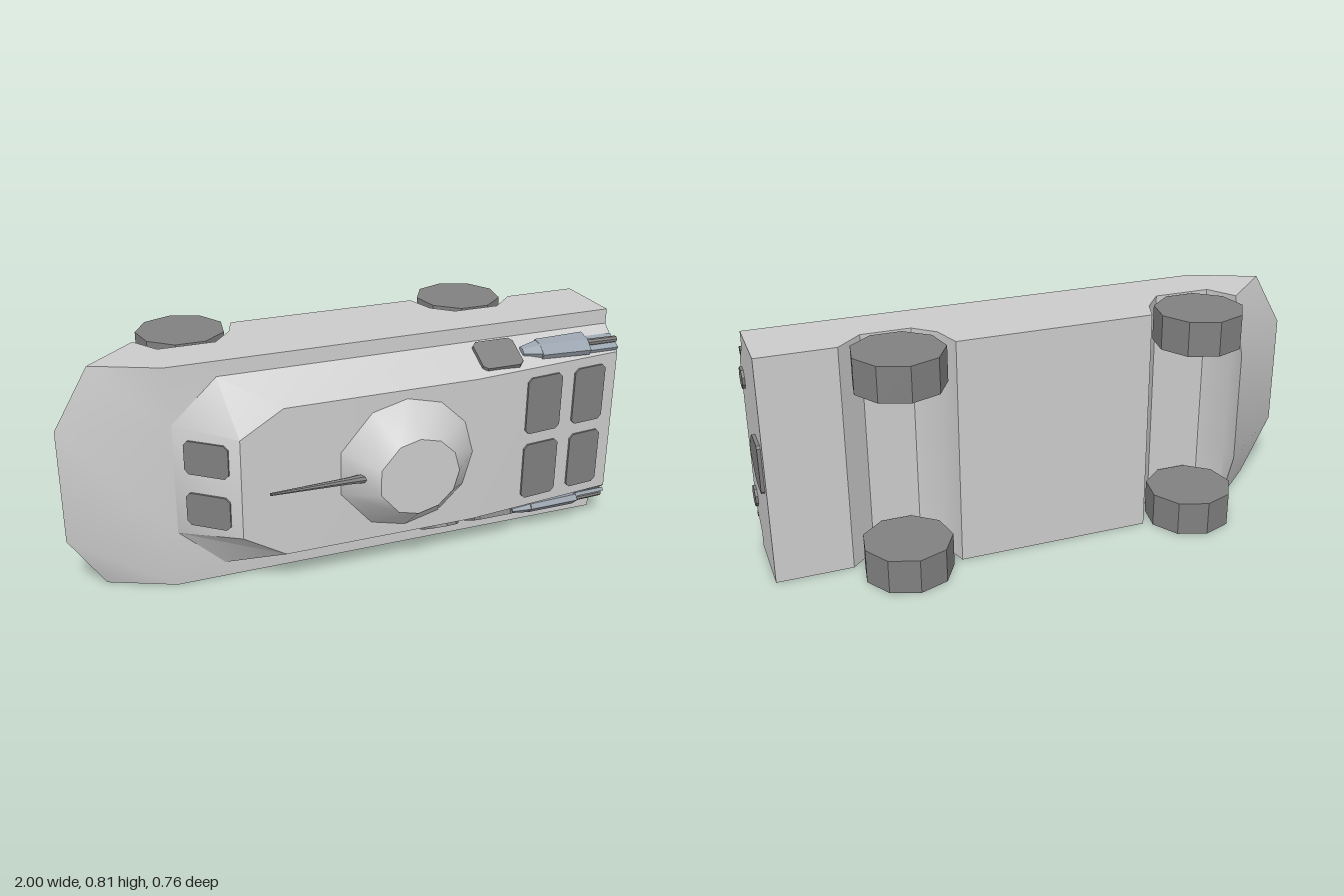
import * as THREE from 'three';
import { toCreasedNormals } from 'three/addons/utils/BufferGeometryUtils.js';

const W = 0.805, MID = W / 2;
const grey = new THREE.MeshStandardMaterial({ color: 0xcccccc });
const dark = new THREE.MeshStandardMaterial({ color: 0x808080, flatShading: true });
const steel = new THREE.MeshStandardMaterial({ color: 0x9aa4ae, flatShading: true });

function add(parent, name, geo, mat, x = 0, y = 0, z = 0) {
  const m = new THREE.Mesh(geo, mat);
  m.name = name;
  m.position.set(x, y, z);
  parent.add(m);
  return m;
}

// Solid between two mirrored outlines; each half runs rear to front as [x, offset, z]
function loft(baseHalf, topHalf) {
  const loop = h => [...h, ...h.slice().reverse().map(([x, o, z]) => [x, -o, z])]
    .map(([x, o, z]) => [x, MID + o, z]);
  const b = loop(baseHalf), t = loop(topHalf), n = b.length, pos = [];
  const quad = (p, q, r, s) => pos.push(...p, ...q, ...r, ...p, ...r, ...s);
  for (let i = 0; i < n; i++) {
    const j = (i + 1) % n;
    quad(b[i], b[j], t[j], t[i]);
  }
  for (let i = 0; i < n / 2 - 1; i++) {
    quad(t[i], t[i + 1], t[n - 2 - i], t[n - 1 - i]);
    quad(b[n - 1 - i], b[n - 2 - i], b[i + 1], b[i]);
  }
  const g = new THREE.BufferGeometry();
  g.setAttribute('position', new THREE.Float32BufferAttribute(pos, 3));
  return toCreasedNormals(g, 0.6);
}

// Side profile across the width, with the bow corners drawn back
function hullGeometry() {
  const profile = [[-1, 0.03], [-0.69, -0.235], [-0.69, -0.16], [-0.63, -0.065], [-0.43, -0.065],
    [-0.36, -0.15], [-0.33, -0.235], [0.36, -0.235], [0.39, -0.13], [0.46, -0.065], [0.63, -0.065],
    [0.72, -0.15], [0.985, -0.15], [0.985, 0.108], [-0.65, 0.108]];
  const shape = new THREE.Shape(profile.map(p => new THREE.Vector2(...p)));
  const g = new THREE.ExtrudeGeometry(shape, { depth: 3, steps: 3, bevelEnabled: false });
  const p = g.attributes.position, layers = [0, 0.2, 0.605, W];
  for (let i = 0; i < p.count; i++) {
    const k = Math.round(p.getZ(i)), x = p.getX(i);
    if (k === 0 || k === 3) {
      if (x < -0.99) { p.setX(i, -0.875); p.setY(i, 0.005); }
      else if (x < -0.68 && p.getY(i) < -0.23) p.setY(i, -0.165);
    }
    p.setZ(i, layers[k]);
  }
  g.rotateX(Math.PI / 2).translate(0, W, 0);
  return toCreasedNormals(g, 0.6);
}

// Thin plate with clipped corners, lying in the xy plane
function plate(w, h, t) {
  const c = 0.015, a = w / 2, b = h / 2;
  const s = new THREE.Shape([[-a + c, -b], [a - c, -b], [a, -b + c], [a, b - c],
    [a - c, b], [-a + c, b], [-a, b - c], [-a, -b + c]].map(p => new THREE.Vector2(...p)));
  return new THREE.ExtrudeGeometry(s, { depth: t, bevelEnabled: false }).translate(0, 0, -t / 2);
}

// Rod along x; r0 at the -x end, r1 at the +x end
const rod = (r0, r1, len, sides) => new THREE.CylinderGeometry(r0, r1, len, sides).rotateZ(Math.PI / 2);

export function createModel() {
  const root = new THREE.Group();
  root.name = 'armouredVehicle';

  add(root, 'hull', hullGeometry(), grey);
  add(root, 'superstructure', loft(
    [[0.985, 0.35, 0.105], [0.4, 0.35, 0.105], [-0.48, 0.35, 0.105], [-0.64, 0.2, 0.105]],
    [[0.985, 0.27, 0.2], [0.4, 0.27, 0.26], [-0.3, 0.27, 0.26], [-0.45, 0.18, 0.26]]), grey);

  // Turret with a flat front and a gun
  const ring = (k, z) => [0, 30, 60, 90, 120, 161].map(d => {
    const a = d * Math.PI / 180;
    return [0.135 + 0.262 * k * Math.cos(a), 0.247 * k * Math.sin(a), z];
  });
  add(root, 'turret', loft(ring(1, 0.25), ring(0.56, 0.375)), grey);
  add(root, 'turretGun', rod(0.005, 0.013, 0.29, 8), dark, -0.225, MID, 0.317);
  add(root, 'gunMount', rod(0.012, 0.017, 0.07, 8), dark, -0.07, MID, 0.317);

  // Wheels
  for (const x of [-0.512, 0.548]) for (const y of [0.061, W - 0.061]) {
    const g = new THREE.CylinderGeometry(0.155, 0.155, 0.122, 9).rotateY(Math.PI);
    add(root, 'wheel', g, dark, x, y, -0.228);
  }

  // Roof and front hatches
  for (const s of [-1, 1]) {
    for (const [x, w] of [[0.675, 0.145], [0.868, 0.132]]) {
      const z = 0.26 - (x - 0.4) * 0.06 / 0.585;
      add(root, 'roofHatch', plate(w, 0.213, 0.014), dark, x, MID + s * 0.128, z).rotation.y = 0.102;
    }
    add(root, 'frontHatch', plate(0.158, 0.12, 0.014), dark, -0.543, MID + s * 0.095, 0.184).rotation.y = -0.684;
  }

  // Rear door and lamps
  const door = new THREE.Shape([[-0.112, -0.078], [-0.105, -0.086], [-0.012, -0.086], [0.005, -0.078], [0.075, -0.012],
    [0.075, 0.012], [0.005, 0.078], [-0.012, 0.086], [-0.105, 0.086], [-0.112, 0.078]]
    .map(([z, y]) => new THREE.Vector2(-z, y)));
  add(root, 'rearDoor', new THREE.ExtrudeGeometry(door, { depth: 0.02, bevelEnabled: false })
    .rotateY(Math.PI / 2), dark, 0.977, MID, 0);
  for (const s of [-1, 1])
    add(root, 'rearLamp', rod(0.038, 0.038, 0.02, 9), dark, 0.984, MID + s * 0.223, 0.15);

  // Side fittings, local z pointing out of the sloped side
  for (const s of [-1, 1]) {
    const side = new THREE.Group();
    side.name = s > 0 ? 'upperSideFittings' : 'lowerSideFittings';
    side.position.set(0, MID + s * 0.311, 0.178);
    side.rotation.x = -s * 1.08;
    root.add(side);
    add(side, 'sideHatch', plate(0.155, 0.125, 0.02), dark, 0.508, 0, 0.004);
    const gun = new THREE.Group();
    gun.name = 'sideGun';
    gun.position.set(0, 0, 0.006);
    gun.rotation.y = 0.02;
    side.add(gun);
    add(gun, 'gunBody', rod(0.045, 0.052, 0.19, 6).scale(1, 1, 0.45), steel, 0.765, 0, 0.012);
    add(gun, 'gunNose', rod(0.02, 0.04, 0.07, 6).scale(1, 1, 0.5), steel, 0.637, 0, 0.012);
    add(gun, 'gunBarrel', rod(0.013, 0.012, 0.13, 8), dark, 0.92, 0, 0.014);
    add(gun, 'gunRail', new THREE.BoxGeometry(0.125, 0.07, 0.014), steel, 0.92, 0, 0.002);
    if (s < 0)
      add(side, 'roundHatch', new THREE.CylinderGeometry(0.07, 0.07, 0.02, 10).rotateX(Math.PI / 2), dark, 0.31, 0, 0.004);
  }
  return root;
}
